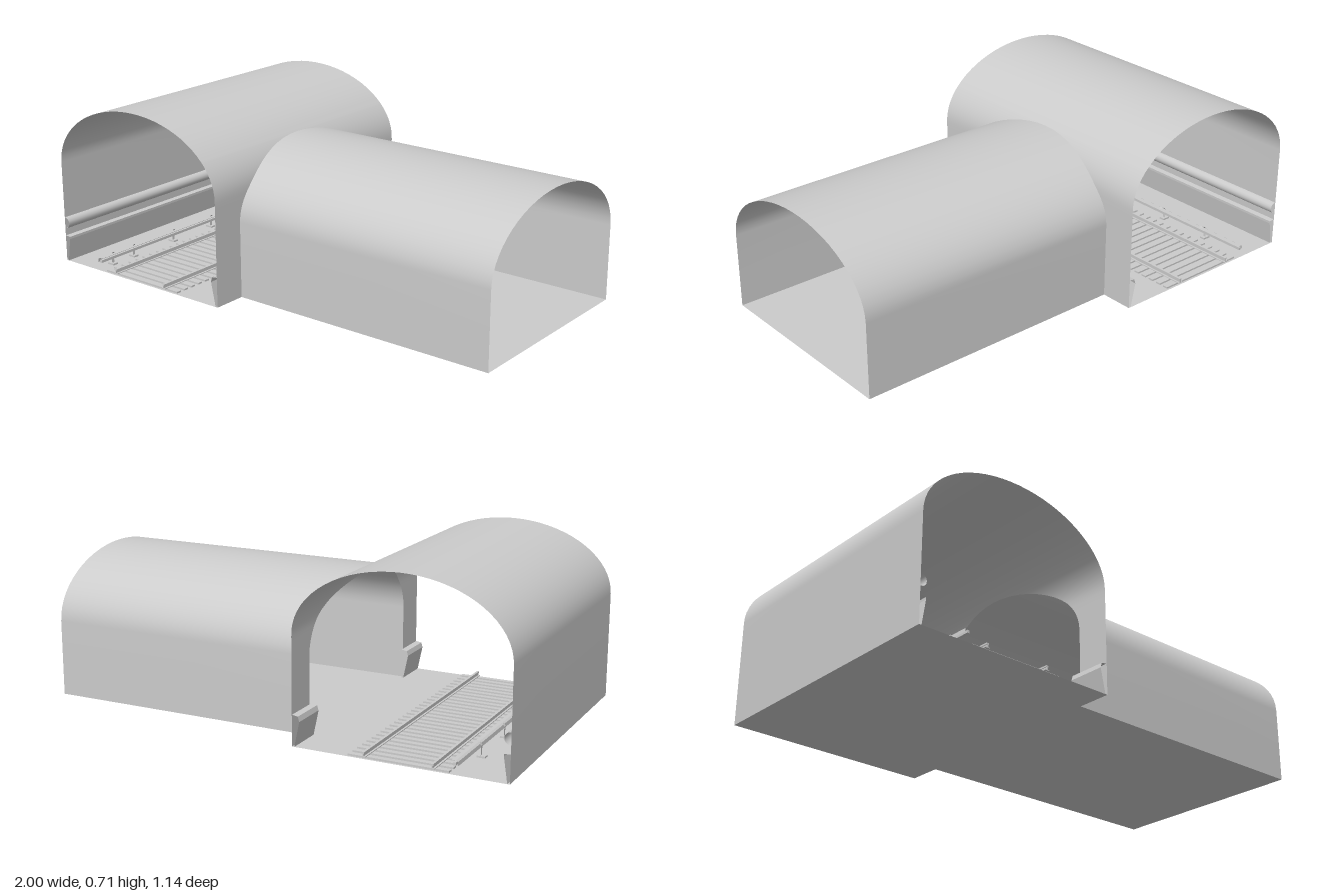
import * as THREE from 'three';

const mat = new THREE.MeshStandardMaterial({ color: 0xcccccc, side: THREE.DoubleSide });

// main tunnel runs along z, side tunnel along x
const MX = -0.5725, MA = 0.4275, MS = 0.43, MT = 0.706, ML = 0.57;
const SW = 0.43, SS = 0.31, ST = 0.574;

// x of the main tunnel's +x wall at height y
function mainWallX(y) {
  if (y <= MS) return MX + MA;
  return MX + MA * Math.sqrt(Math.max(0, 1 - ((y - MS) / (MT - MS)) ** 2));
}

// smooth sheet through rows of equally many points
function sheet(name, rows) {
  const n = rows[0].length, index = [];
  for (let i = 0; i < rows.length - 1; i++) {
    for (let j = 0; j < n - 1; j++) {
      const a = i * n + j, b = a + n;
      index.push(a, b, a + 1, a + 1, b, b + 1);
    }
  }
  const g = new THREE.BufferGeometry();
  g.setAttribute('position', new THREE.Float32BufferAttribute(rows.flat(2), 3));
  g.setIndex(index);
  g.computeVertexNormals();
  const m = new THREE.Mesh(g, mat);
  m.name = name;
  return m;
}

// faceted strip: an [x, y] profile swept along z
function strip(name, profile, z0, z1) {
  const group = new THREE.Group();
  group.name = name;
  for (let i = 0; i < profile.length - 1; i++) {
    const row = ([x, y]) => [[x, y, z0], [x, y, z1]];
    group.add(sheet(name + 'Face', [row(profile[i]), row(profile[i + 1])]));
  }
  return group;
}

function box(name, x0, x1, y0, y1, z0, z1) {
  const m = new THREE.Mesh(new THREE.BoxGeometry(x1 - x0, y1 - y0, z1 - z0), mat);
  m.position.set((x0 + x1) / 2, (y0 + y1) / 2, (z0 + z1) / 2);
  m.name = name;
  return m;
}

function floor(name, x0, x1, halfZ) {
  const m = new THREE.Mesh(new THREE.PlaneGeometry(x1 - x0, 2 * halfZ), mat);
  m.rotation.x = -Math.PI / 2;
  m.position.x = (x0 + x1) / 2;
  m.name = name;
  return m;
}

export function createModel() {
  const model = new THREE.Group();

  // half outline of the side tunnel, [z, y], from the floor to the crown
  const half = [[SW, 0], [SW, 0.15]];
  for (let i = 0; i <= 14; i++) {
    const t = (i / 14) * Math.PI / 2;
    half.push([SW * Math.cos(t), SS + (ST - SS) * Math.sin(t)]);
  }

  // side tunnel, trimmed to the curve of the main vault
  const outline = [...half, ...half.slice(0, -1).reverse().map(([z, y]) => [-z, y])];
  model.add(sheet('sideTunnelVault', outline.map(([z, y]) => [[mainWallX(y), y, z], [1, y, z]])));

  // main vault beside the opening, one piece on each side
  for (const s of [-1, 1]) {
    model.add(sheet('mainVaultBesideOpening',
      half.map(([z, y]) => [[mainWallX(y), y, s * z], [mainWallX(y), y, s * ML]])));
  }

  // main vault from the top of the opening over to the far wall
  const start = Math.asin((ST - MS) / (MT - MS));
  const over = [];
  for (let i = 0; i <= 28; i++) {
    const t = start + (Math.PI - start) * (i / 28);
    over.push([MX + MA * Math.cos(t), MS + (MT - MS) * Math.sin(t)]);
  }
  over.push([-1, 0.2], [-1, 0]);
  model.add(sheet('mainVault', over.map(([x, y]) => [[x, y, -ML], [x, y, ML]])));

  model.add(floor('mainFloor', -1, MX + MA, ML), floor('sideFloor', MX + MA, 1, SW));

  // conduit and cable ledges along the far wall
  const pipe = [];
  for (let i = 0; i <= 8; i++) {
    const t = Math.PI / 2 - (i / 8) * Math.PI;
    pipe.push([-0.998 + 0.024 * Math.cos(t), 0.166 + 0.024 * Math.sin(t)]);
  }
  model.add(sheet('wallConduit', pipe.map(([x, y]) => [[x, y, -ML], [x, y, ML]])));
  model.add(strip('wallLedge', [[-0.999, 0.11], [-0.975, 0.108], [-0.975, 0.098], [-0.99, 0.0]], -ML, ML));

  // matching ledge on the near wall, closed by a cap at the opening
  const ledge = [[-0.155, 0], [-0.176, 0.1], [-0.17, 0.12], [-0.146, 0.124]];
  const cap = new THREE.Shape([...ledge, [-0.13, 0.115], [-0.147, 0]].map(p => new THREE.Vector2(...p)));
  for (const s of [-1, 1]) {
    model.add(strip('nearWallLedge', ledge, s * SW, s * ML));
    const m = new THREE.Mesh(new THREE.ExtrudeGeometry(cap, { depth: 0.015, bevelEnabled: false }), mat);
    m.position.z = s > 0 ? 0.415 : -0.43;
    m.name = 'ledgeEndCap';
    model.add(m);
  }

  // track: sleepers and two running rails
  const track = new THREE.Group();
  track.name = 'track';
  const count = 28, pitch = 2 * ML / count;
  for (let i = 0; i < count; i++) {
    const z = -ML + (i + 0.5) * pitch;
    track.add(box('sleeper', -0.77, -0.37, 0, 0.007, z - 0.011, z + 0.011));
  }
  for (const x of [-0.708, -0.437]) {
    track.add(box('railFoot', x - 0.01, x + 0.01, 0.007, 0.01, -ML, ML));
    track.add(box('railWeb', x - 0.002, x + 0.002, 0.01, 0.02, -ML, ML));
    track.add(box('railHead', x - 0.005, x + 0.005, 0.02, 0.026, -ML, ML));
  }
  model.add(track);

  // power rail with its cover, carried by hooked brackets
  const power = new THREE.Group();
  power.name = 'powerRail';
  power.add(strip('railCover', [[-0.808, 0.035], [-0.806, 0.05], [-0.798, 0.055], [-0.783, 0.055]], -ML, ML));
  power.add(box('contactRail', -0.798, -0.788, 0.035, 0.046, -ML, ML));
  for (const z of [-0.475, -0.235, 0.005, 0.245, 0.485].map(v => v - 0.12).concat(0.485)) {
    if (z < -ML) continue;
    power.add(box('bracketFoot', -0.83, -0.797, 0, 0.007, z - 0.012, z + 0.012));
    power.add(strip('bracketHook',
      [[-0.811, 0.005], [-0.812, 0.045], [-0.805, 0.056], [-0.795, 0.06], [-0.782, 0.058]], z - 0.006, z + 0.006));
  }
  model.add(power);

  return model;
}
